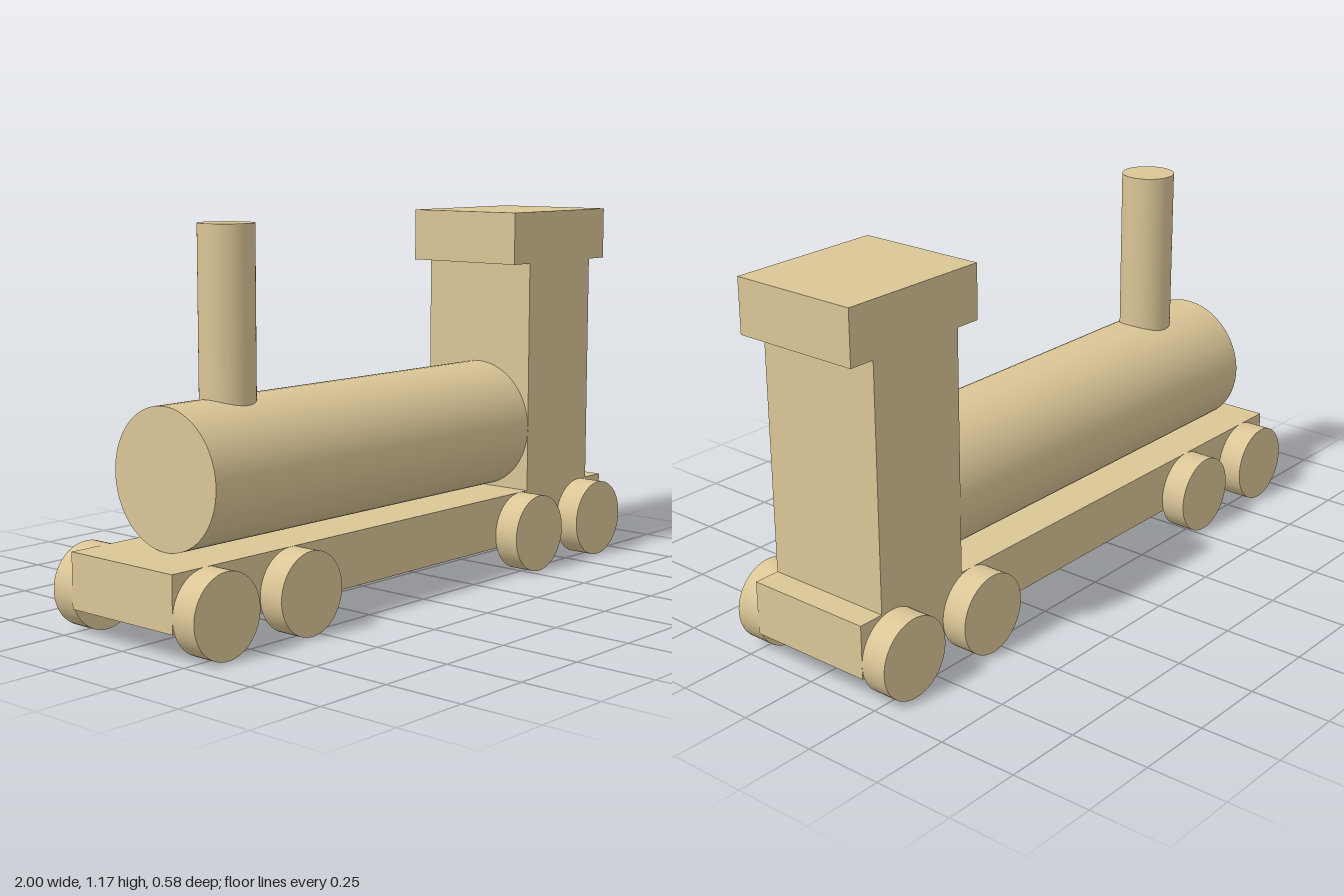
import * as THREE from 'three';

export function createModel() {
  const train = new THREE.Group();
  train.name = 'toyTrain';
  const wood = new THREE.MeshStandardMaterial({ color: 0xdac596 });
  wood.name = 'lightWood';

  const u = 1 / 12; // all parts sit on a grid of twelfths
  const halfWidth = 2.5 * u;

  function add(name, geometry, x, y, z = 0) {
    const mesh = new THREE.Mesh(geometry, wood);
    mesh.name = name;
    mesh.position.set(x * u, y * u, z * u);
    train.add(mesh);
    return mesh;
  }
  const block = (w, h) => new THREE.BoxGeometry(w * u, h * u, 2 * halfWidth);
  const rod = (r, length) => new THREE.CylinderGeometry(r * u, r * u, length * u, 64);

  // Chassis, cab and roof
  add('chassis', block(24, 2), 0, 2);
  add('cab', block(4, 9), 9, 7.5);
  add('roof', block(6, 2), 9, 13);

  // Boiler lying along x, with the chimney sunk into it
  add('boiler', rod(2.5, 17).rotateZ(Math.PI / 2), -1.5, 5.5);
  add('chimney', rod(1, 6.5), -7, 10.75);

  // Four pairs of wheels on the sides of the chassis
  const wheel = rod(1.5, 1).rotateX(Math.PI / 2);
  for (const x of [-10.5, -6.5, 6.5, 10.5]) {
    for (const side of [-1, 1]) add('wheel', wheel, x, 1.5, side * 3);
  }
  return train;
}
